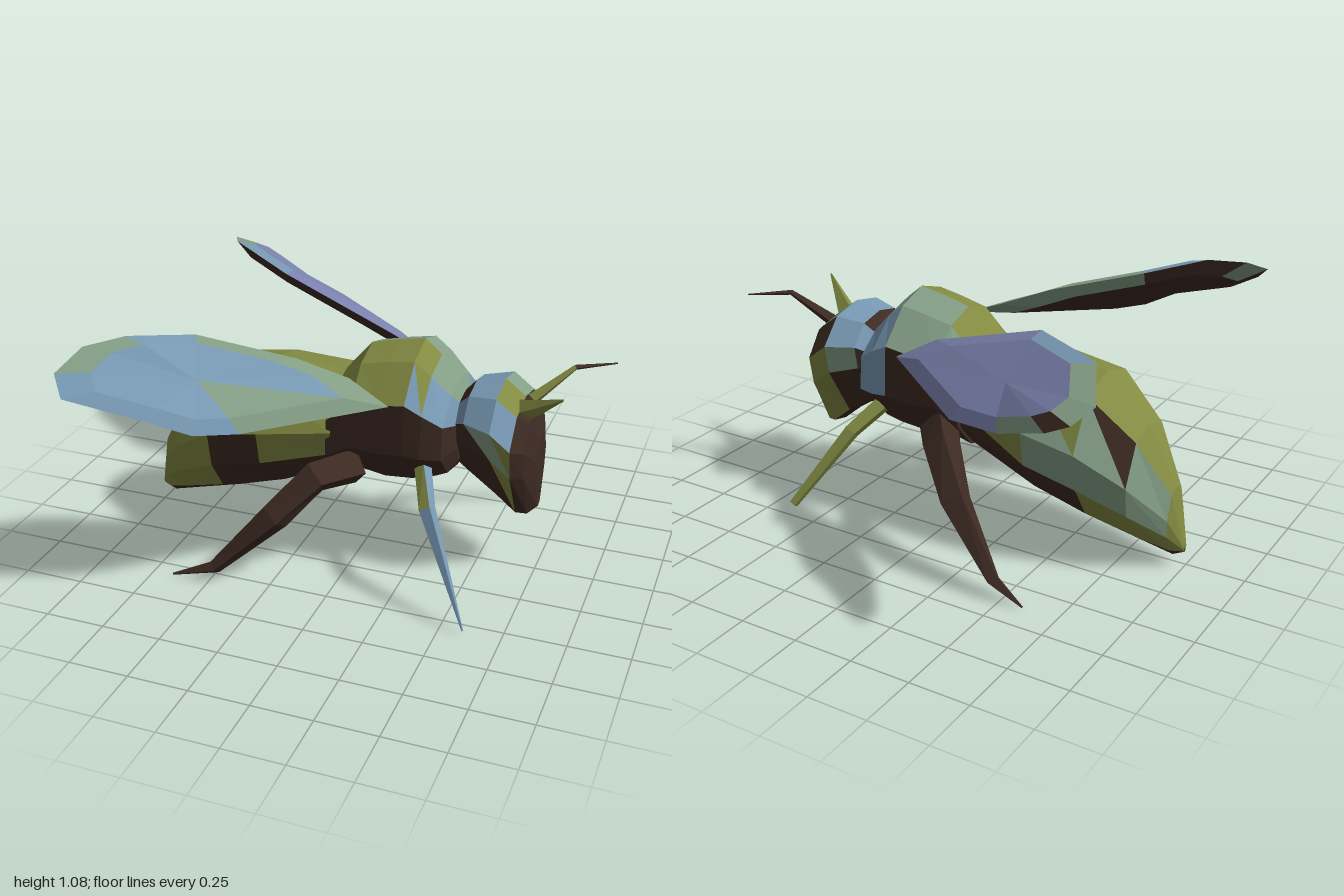
import * as THREE from 'three';

const make = (name, color) => {
  const m = new THREE.MeshStandardMaterial({ color });
  m.name = name;
  return m;
};
const V = (x, y, z) => new THREE.Vector3(x, y, z);

export function createModel() {
  const model = new THREE.Group();
  model.name = 'bee';
  const olive = make('olive', 0x838b42), brown = make('darkBrown', 0x3e2b23),
    blue = make('paleBlue', 0x7899b4), sage = make('sage', 0x849e86), purple = make('violet', 0x7b82ae);
  const mats = [olive, brown, blue, sage, purple];

  // Joins closed rings into a faceted skin with capped ends; pick(i, j, t) gives each triangle's colour.
  // Caps use i = -1 at the start and i = rings.length - 1 at the end.
  function skin(name, rings, pick) {
    const buckets = mats.map(() => []);
    const tri = (m, ...pts) => pts.forEach(p => buckets[mats.indexOf(m)].push(p.x, p.y, p.z));
    const n = rings[0].length, last = rings.length - 1;
    const mid = r => r.reduce((s, p) => s.add(p), V(0, 0, 0)).divideScalar(n);
    const c0 = mid(rings[0]), c1 = mid(rings[last]);
    for (let j = 0; j < n; j++) {
      const k = (j + 1) % n;
      for (let i = 0; i < last; i++) {
        const a = rings[i], b = rings[i + 1];
        tri(pick(i, j, 0), a[j], a[k], b[k]);
        tri(pick(i, j, 1), a[j], b[k], b[j]);
      }
      tri(pick(-1, j, 0), c0, rings[0][k], rings[0][j]);
      tri(pick(last, j, 0), c1, rings[last][j], rings[last][k]);
    }
    const geo = new THREE.BufferGeometry();
    let start = 0;
    buckets.forEach((b, m) => {
      if (b.length) geo.addGroup(start, b.length / 3, m);
      start += b.length / 3;
    });
    geo.setAttribute('position', new THREE.Float32BufferAttribute(buckets.flat(), 3));
    geo.computeVertexNormals();
    const mesh = new THREE.Mesh(geo, mats);
    mesh.name = name;
    model.add(mesh);
  }

  // Ten-sided body slices: each is [x, bottom, top, half width]; half is one side of the profile.
  function body(name, half, slices, pick) {
    const loop = [...half, ...half.slice(1, -1).reverse().map(([z, y]) => [-z, y])];
    skin(name, slices.map(([x, lo, hi, w]) =>
      loop.map(([z, y]) => V(x, (lo + hi) / 2 + y * (hi - lo) / 2, z * w - 0.025))), pick);
  }

  // Abdomen
  body('abdomen', [[0, 1], [0.6, 0.85], [1, 0.2], [0.9, -0.3], [0.55, -0.75], [0, -1]], [
    [-1, 0.07, 0.11, 0.015], [-0.95, 0.045, 0.35, 0.08], [-0.82, 0.08, 0.59, 0.2],
    [-0.63, 0.13, 0.77, 0.28], [-0.4, 0.2, 0.8, 0.29], [-0.08, 0.35, 0.78, 0.265],
  ], (i, j, t) => {
    if (j === 4 || j === 5) return brown;
    if (j === 3 || j === 6) return i <= 2 ? olive : brown;
    if (j === 2) return i === 3 ? brown : olive;
    if (j === 7) return i < 1 ? olive : i < 4 ? sage : t ? brown : olive;
    if (j === 8 && i === 2) return t ? sage : brown;
    if (j === 8 && (i === 1 || (i === 3 && t))) return sage;
    return olive;
  });

  // Thorax
  body('thorax', [[0, 1], [0.5, 0.85], [0.96, 0.4], [1, -0.3], [0.6, -0.82], [0, -1]], [
    [-0.1, 0.35, 0.79, 0.265], [0.01, 0.37, 0.92, 0.27], [0.13, 0.35, 0.95, 0.28], [0.24, 0.36, 0.97, 0.285],
    [0.31, 0.38, 0.91, 0.28], [0.39, 0.42, 0.82, 0.25], [0.42, 0.47, 0.76, 0.15],
  ], (i, j, t) => {
    if (i === 6) return brown;
    if (j === 0) return i > 3 ? sage : olive;
    if (j === 1) return i > 3 || (i === 3 && t === 0) ? blue : olive;
    if (j === 9) return i >= 1 ? sage : olive;
    if (j === 8) return i >= 3 ? blue : sage;
    if (j === 7 && i >= 3) return blue;
    return brown;
  });

  // Head with a dark, bulging shield-shaped face
  body('head', [[0, 1], [0.6, 0.88], [1, 0.45], [0.9, -0.05], [0.34, -0.93], [0, -1]], [
    [0.39, 0.46, 0.74, 0.12], [0.46, 0.42, 0.82, 0.19], [0.58, 0.34, 0.845, 0.24],
    [0.665, 0.27, 0.78, 0.24], [0.71, 0.262, 0.745, 0.18], [0.742, 0.29, 0.62, 0.08],
  ], (i, j, t) => {
    if (i === 3 && j === 6) return olive;
    if (i >= 3 || i === -1) return brown;
    if (j === 0) return i === 0 ? brown : i === 1 ? blue : olive;
    if (j === 1) return blue;
    if (j === 2) return i === 2 ? (t ? olive : sage) : i === 1 && t ? sage : brown;
    if (j === 3) return i === 2 && t ? olive : brown;
    if (j === 6) return i === 2 ? olive : brown;
    if (j === 7) return i === 0 ? brown : i === 1 ? sage : olive;
    if (j === 8) return i === 2 ? brown : blue;
    if (j === 9) return i === 0 ? brown : i === 1 ? blue : sage;
    return brown;
  });

  // Tapered four-sided limbs: points are [x, y, z, radius]
  function limb(name, points, pick) {
    const p = points.map(a => V(a[0], a[1], a[2]));
    skin(name, p.map((c, i) => {
      const t = p[Math.min(i + 1, p.length - 1)].clone().sub(p[Math.max(i - 1, 0)]).normalize();
      const u = V(0, 1, 0).cross(t).normalize(), v = t.clone().cross(u);
      return [0, 1, 2, 3].map(k => c.clone()
        .addScaledVector(u, Math.cos(k * Math.PI / 2) * points[i][3])
        .addScaledVector(v, Math.sin(k * Math.PI / 2) * points[i][3]));
    }), pick);
  }
  limb('leftHindLeg', [[0.02, 0.46, 0.2, 0.08], [-0.1, 0.46, 0.35, 0.075], [-0.24, 0.3, 0.45, 0.065],
    [-0.48, 0.06, 0.54, 0.03], [-0.66, 0.005, 0.57, 0.005]], () => brown);
  limb('rightHindLeg', [[0.02, 0.46, -0.24, 0.08], [-0.1, 0.48, -0.41, 0.075], [-0.24, 0.32, -0.53, 0.065],
    [-0.46, 0.07, -0.61, 0.03], [-0.6, 0.005, -0.63, 0.005]], () => brown);
  limb('leftForeLeg', [[0.31, 0.5, 0.2, 0.035], [0.38, 0.41, 0.36, 0.035], [0.6, 0.02, 0.57, 0.004]],
    (i, j) => (j === 0 || j === 3 || (j === 1 && i > 0) ? blue : i < 1 ? olive : brown));
  limb('rightForeLeg', [[0.3, 0.5, -0.25, 0.04], [0.38, 0.4, -0.36, 0.035], [0.55, 0.1, -0.56, 0.02]],
    () => olive);

  // Antennae
  limb('rightAntenna', [[0.66, 0.73, -0.06, 0.03], [0.83, 0.875, -0.16, 0.012], [0.98, 0.87, -0.27, 0.003]],
    (i, j) => (i < 1 && (j === 1 || j === 2) ? olive : brown));
  limb('leftAntenna', [[0.65, 0.73, 0.02, 0.05], [0.74, 0.79, 0.08, 0.03], [0.85, 0.87, 0.15, 0.004]],
    (i, j) => (j === 3 ? brown : olive));

  // Wings: an outline, counter-clockwise from above, with bevelled rims on both sides
  function wing(name, outline, pick) {
    const edge = outline.map(a => V(...a));
    const c = edge.reduce((s, p) => s.add(p), V(0, 0, 0)).divideScalar(edge.length);
    const normal = V(0, 0, 0);
    edge.forEach((p, i) => normal.add(p.clone().sub(c).cross(edge[(i + 1) % edge.length].clone().sub(c))));
    normal.normalize();
    const inner = h => edge.map(p => p.clone().lerp(c, 0.25).addScaledVector(normal, h));
    skin(name, [inner(-0.035), edge, inner(0.025)], pick);
  }
  wing('leftWing', [[0.18, 0.78, 0.26], [0, 0.86, 0.22], [-0.2, 0.94, 0.28], [-0.57, 1.04, 0.41],
    [-0.77, 1.08, 0.6], [-0.9, 1.06, 0.71], [-0.945, 1, 0.85], [-0.88, 0.935, 0.92],
    [-0.57, 0.86, 0.85], [-0.42, 0.79, 0.77], [-0.28, 0.77, 0.66]],
  (i, j) => {
    if (i === 2) return j === 10 ? sage : blue;
    if (i < 0) return brown;
    if (j < 3 || j === 5) return sage;
    if (i === 0) return brown;
    return j === 4 || j === 10 ? sage : blue;
  });
  wing('rightWing', [[0.18, 0.76, -0.31], [-0.35, 0.77, -0.74], [-0.6, 0.81, -0.83], [-0.83, 0.9, -0.915],
    [-0.93, 0.95, -0.92], [-0.98, 1, -0.84], [-0.87, 1.06, -0.62], [-0.52, 1.03, -0.37], [0, 0.86, -0.28]],
  (i, j) => {
    if (i === 2) return purple;
    if (i < 1 || j === 3) return brown;
    if (j === 2 || j === 4 || j === 5) return sage;
    return j === 6 ? blue : purple;
  });

  return model;
}
